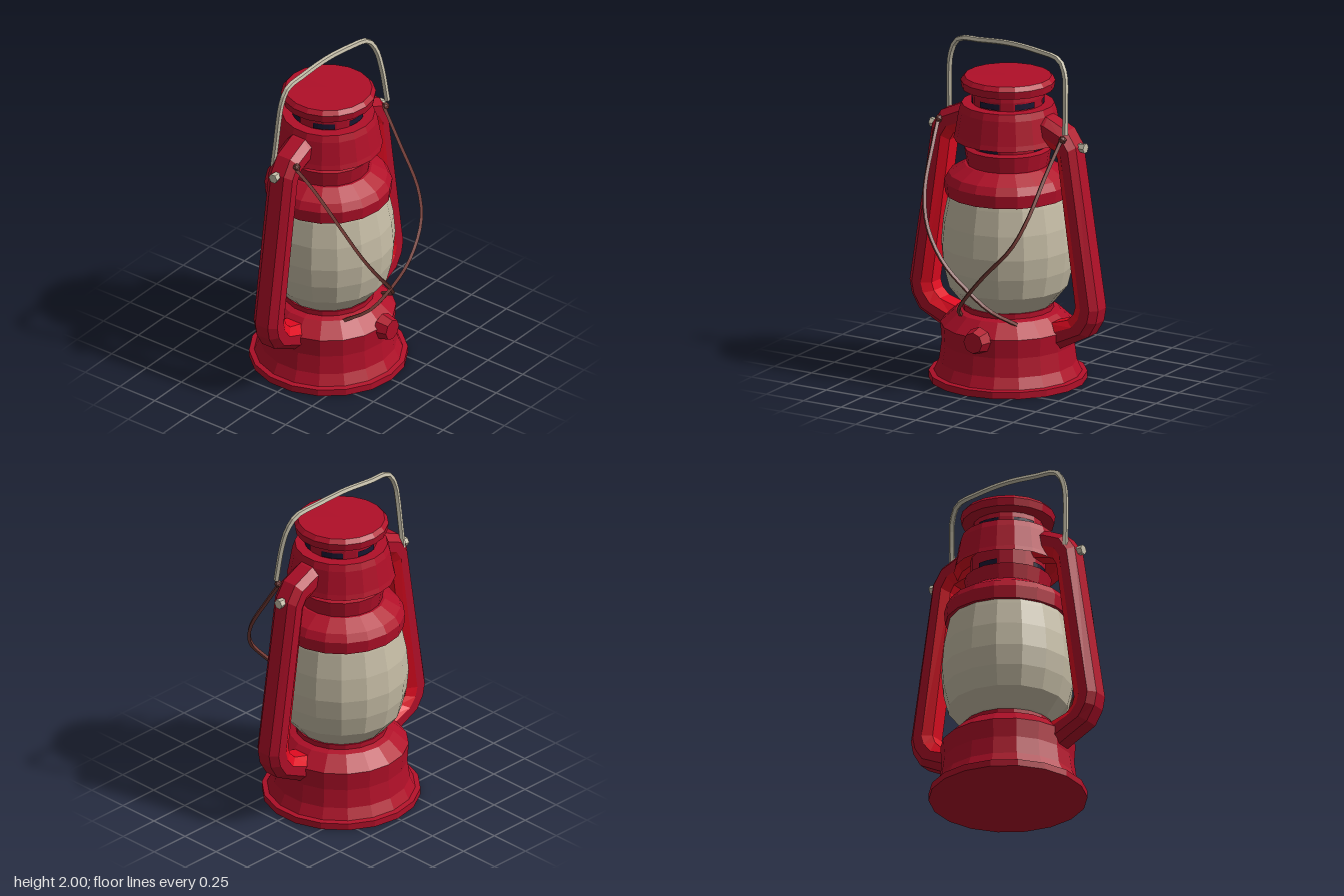
import * as THREE from 'three';

const mat = (name, color, extra = {}) => {
  const m = new THREE.MeshStandardMaterial({ color, flatShading: true, ...extra });
  m.name = name;
  return m;
};

export function createModel() {
  const red = mat('enamel red', 0xb00f28);
  const bright = mat('bright red', 0xdf0a20);
  const glass = mat('frosted glass', 0xc4bba4);
  const metal = mat('pale metal', 0xc6bfaa);
  const cordMat = mat('brown cord', 0x7a3e38);
  const dark = mat('dark vent', 0x1a1732, { side: THREE.DoubleSide });

  const model = new THREE.Group();
  model.name = 'lantern';
  const CZ = -0.015; // axis of the round body

  const add = (name, geo, material, x = 0, y = 0, z = CZ) => {
    const mesh = new THREE.Mesh(geo, material);
    mesh.name = name;
    mesh.position.set(x, y, z);
    model.add(mesh);
    return mesh;
  };
  const turned = (name, profile, material, sides = 18) =>
    add(name, new THREE.LatheGeometry(profile.map(([r, y]) => new THREE.Vector2(r, y)), sides), material);

  // Round body, bottom to top
  turned('fuelTank', [
    [0, 0], [0.455, 0], [0.455, 0.04], [0.425, 0.045], [0.395, 0.11], [0.38, 0.22],
    [0.387, 0.33], [0.3, 0.41], [0.262, 0.42], [0.262, 0.45], [0.2, 0.45],
  ], red);
  turned('globe', [
    [0.23, 0.43], [0.265, 0.46], [0.345, 0.56], [0.375, 0.68], [0.386, 0.8],
    [0.374, 0.94], [0.345, 1.08], [0.33, 1.14],
  ], glass, 16);
  turned('shoulder', [
    [0.3, 1.11], [0.36, 1.105], [0.366, 1.18], [0.34, 1.225], [0.25, 1.28], [0.235, 1.28],
    [0.25, 1.375], [0.215, 1.385], [0.215, 1.5],
  ], red);
  turned('hoodUnderside', [[0.2, 1.5], [0.28, 1.47], [0.312, 1.43]], bright);
  turned('hood', [[0.312, 1.43], [0.304, 1.46], [0.28, 1.6], [0.266, 1.64], [0.19, 1.64]], red);
  turned('chimneyNeck', [[0.203, 1.63], [0.205, 1.69], [0.2, 1.73]], red);
  turned('cap', [[0.19, 1.715], [0.265, 1.73], [0.272, 1.775], [0.25, 1.8], [0, 1.803]], red);

  // Dark vents around the neck and chimney
  const vents = (name, count, r, y, h, width) => {
    for (let i = 0; i < count; i++) {
      const a = (i / count) * Math.PI * 2 - width / 2;
      add(name, new THREE.CylinderGeometry(r, r, h, 4, 1, true, a, width), dark, 0, y);
    }
  };
  vents('upperVent', 6, 0.21, 1.665, 0.035, 0.62);
  vents('lowerVent', 4, 0.221, 1.403, 0.03, 0.56);

  // Side air tubes: pairs of outer and inner edge points, lofted with a chamfered section
  const rails = [
    [0.2, 1.62, 0.2, 1.45], [0.29, 1.6, 0.29, 1.43], [0.42, 1.54, 0.335, 1.415],
    [0.48, 1.45, 0.36, 1.37], [0.63, 0.5, 0.48, 0.5], [0.615, 0.42, 0.465, 0.455],
    [0.565, 0.335, 0.425, 0.415], [0.38, 0.24, 0.29, 0.375], [0.3, 0.22, 0.22, 0.36],
  ];
  const section = [
    [0, -0.045], [0, 0.045], [0.25, 0.085], [0.65, 0.085],
    [1, 0.05], [1, -0.05], [0.65, -0.085], [0.25, -0.085],
  ];
  const loft = (side, strips) => {
    const point = (i, j) => {
      const [ox, oy, ix, iy] = rails[i];
      const [t, z] = section[j % section.length];
      return [side * (ox + (ix - ox) * t), oy + (iy - oy) * t, z];
    };
    const pos = [];
    for (let i = 0; i < rails.length - 1; i++) {
      for (const j of strips) {
        const q = [point(i, j), point(i, j + 1), point(i + 1, j + 1), point(i + 1, j)];
        if (side < 0) q.reverse();
        for (const k of [0, 1, 2, 0, 2, 3]) pos.push(...q[k]);
      }
    }
    const geo = new THREE.BufferGeometry();
    geo.setAttribute('position', new THREE.Float32BufferAttribute(pos, 3));
    geo.computeVertexNormals();
    return geo;
  };
  for (const side of [1, -1]) {
    const label = side > 0 ? 'left' : 'right';
    add(label + 'AirTube', loft(side, [0, 1, 2, 6, 7]), red);
    add(label + 'AirTubeInside', loft(side, [3, 4, 5]), bright);
    // Pivot bolt of the handle
    const bolt = add(label + 'Bolt', new THREE.CylinderGeometry(0.03, 0.022, 0.07, 6), metal, side * 0.482, 1.44, -0.02);
    bolt.rotation.z = -side * Math.PI / 2;
  }

  // Wick knob
  const knob = add('wickKnob', new THREE.CylinderGeometry(0.062, 0.08, 0.075, 8), red, 0.03, 0.315, 0.385);
  knob.rotation.x = Math.PI / 2;
  const stem = add('knobStem', new THREE.CylinderGeometry(0.05, 0.05, 0.1, 8), red, 0.03, 0.315, 0.33);
  stem.rotation.x = Math.PI / 2;

  // Bent wire parts
  const wire = (name, pts, radius, material, segments, sides) => {
    const curve = new THREE.CatmullRomCurve3(pts.map((p) => new THREE.Vector3(...p)), false, 'centripetal');
    return add(name, new THREE.TubeGeometry(curve, segments, radius, sides, false), material, 0, 0, 0);
  };
  wire('handle', [
    [-0.43, 1.46, -0.085], [-0.425, 1.6, -0.07], [-0.415, 1.78, -0.055], [-0.4, 1.87, -0.05],
    [-0.35, 1.955, -0.045], [-0.2, 1.97, -0.045], [0, 1.983, -0.035], [0.2, 1.97, -0.02],
    [0.35, 1.945, 0], [0.4, 1.87, 0.02], [0.42, 1.75, 0.045], [0.435, 1.53, 0.075],
  ], 0.017, metal, 36, 5);

  // Crossed cords hanging in front of the globe
  wire('rightCord', [
    [-0.42, 1.5, 0.06], [-0.39, 1.38, 0.17], [-0.34, 1.14, 0.345], [-0.27, 0.96, 0.425],
    [-0.15, 0.78, 0.455], [0, 0.62, 0.425], [0.11, 0.5, 0.36], [0.2, 0.4, 0.22],
  ], 0.013, cordMat, 24, 4);
  wire('leftCord', [
    [0.41, 1.5, 0.07], [0.385, 1.32, 0.2], [0.355, 1.08, 0.36], [0.29, 0.92, 0.43],
    [0.13, 0.74, 0.463], [0, 0.6, 0.425], [-0.1, 0.49, 0.36], [-0.17, 0.4, 0.22],
  ], 0.013, cordMat, 24, 4);
  for (const [x, y, z] of [[-0.41, 1.5, 0.07], [0.42, 1.5, 0.075]]) {
    add('cordKnot', new THREE.IcosahedronGeometry(0.024, 0), cordMat, x, y, z);
  }

  return model;
}
